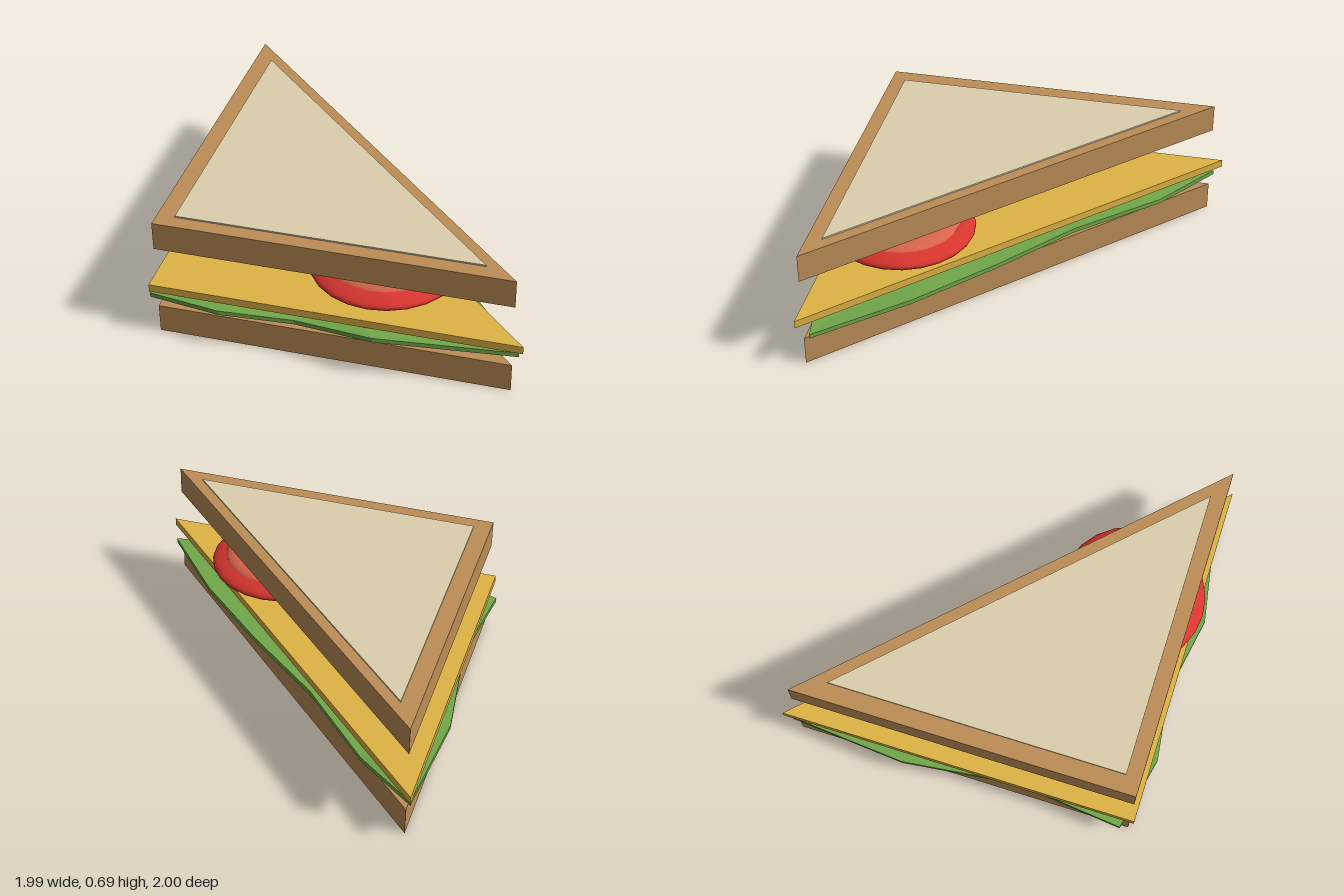
import * as THREE from 'three';

const mat = (name, color, extra = {}) => {
  const m = new THREE.MeshStandardMaterial({ color, ...extra });
  m.name = name;
  return m;
};

// Triangular prism from [x, z] corners, standing on y0
function prism(name, corners, y0, height, material) {
  const shape = new THREE.Shape(corners.map(([x, z]) => new THREE.Vector2(x, -z)));
  const geo = new THREE.ExtrudeGeometry(shape, { depth: height, bevelEnabled: false });
  geo.rotateX(-Math.PI / 2);
  const mesh = new THREE.Mesh(geo, material);
  mesh.name = name;
  mesh.position.y = y0;
  return mesh;
}

// Wavy leaf: rim points [x, z, y] around a centre, with a small thickness
function leaf(rim, centre, thick, material) {
  const pos = [];
  const at = ([x, z, y], up) => [x, y + (up ? thick : 0), z];
  const tri = (a, b, c) => pos.push(...a, ...b, ...c);
  rim.forEach((a, i) => {
    const b = rim[(i + 1) % rim.length];
    tri(at(centre, true), at(a, true), at(b, true));
    tri(at(centre, false), at(b, false), at(a, false));
    tri(at(a, false), at(b, false), at(b, true));
    tri(at(a, false), at(b, true), at(a, true));
  });
  const geo = new THREE.BufferGeometry();
  geo.setAttribute('position', new THREE.Float32BufferAttribute(pos, 3));
  geo.computeVertexNormals();
  const mesh = new THREE.Mesh(geo, material);
  mesh.name = 'lettuce';
  return mesh;
}

function lathe(name, profile, material) {
  const points = profile.map(([r, y]) => new THREE.Vector2(r, y));
  const mesh = new THREE.Mesh(new THREE.LatheGeometry(points, 24), material);
  mesh.name = name;
  return mesh;
}

export function createModel() {
  const crust = mat('crust brown', 0xbd8e57);
  const crumb = mat('crumb cream', 0xdccfae);
  const cheese = mat('cheese yellow', 0xe0b445);
  const green = mat('lettuce green', 0x72a84a, { flatShading: true });
  const red = mat('tomato red', 0xd8352e);
  const flesh = mat('tomato flesh', 0xd9644c);
  const model = new THREE.Group();
  model.name = 'sandwich';

  // Bread slices, each with a pale crumb face on top
  const breadCorners = [[-0.92, -0.935], [-0.92, 0.92], [0.935, 0.92]];
  const crumbCorners = [[-0.825, -0.755], [-0.825, 0.84], [0.77, 0.84]];
  for (const [name, y, h] of [['bottomBread', 0, 0.16], ['topBread', 0.525, 0.157]]) {
    const slice = new THREE.Group();
    slice.name = name;
    slice.add(prism('crust', breadCorners, y, h, crust));
    slice.add(prism('crumb', crumbCorners, y + h, 0.008, crumb));
    model.add(slice);
  }

  // Lettuce leaf
  model.add(leaf([
    [-0.98, 0.88, 0.177], [-0.58, 0.97, 0.208], [-0.19, 0.92, 0.188],
    [0.24, 1.0, 0.225], [0.96, 0.88, 0.187], [0.6, 0.44, 0.208],
    [0.2, 0.07, 0.208], [-0.22, -0.27, 0.2], [-0.62, -0.69, 0.188],
    [-0.945, -0.955, 0.212], [-0.997, -0.32, 0.205], [-0.925, 0.3, 0.21],
  ], [-0.3, 0.3, 0.207], 0.025, green));

  // Cheese slice
  model.add(prism('cheese', [[-0.955, -1], [-0.955, 0.945], [0.99, 0.945]], 0.265, 0.043, cheese));

  // Tomato slices: rounded red skin with a raised paler middle
  const R = 0.395, H = 0.075, skinProfile = [];
  for (let i = 0; i <= 16; i++) {
    const a = -Math.PI / 2 + (i / 16) * (Math.PI / 2 + 0.645);
    skinProfile.push([Math.max(0, R * Math.cos(a)), H * Math.sin(a)]);
  }
  const fleshProfile = [[0.315, 0.044], [0.305, 0.056], [0.28, 0.065], [0.22, 0.072], [0.12, 0.076], [0, 0.077]];
  for (const [x, z] of [[-0.39, 0.385], [0.205, 0.585]]) {
    const tomato = new THREE.Group();
    tomato.name = 'tomatoSlice';
    tomato.add(lathe('skin', skinProfile, red), lathe('flesh', fleshProfile, flesh));
    tomato.position.set(x, 0.42, z);
    model.add(tomato);
  }
  return model;
}
